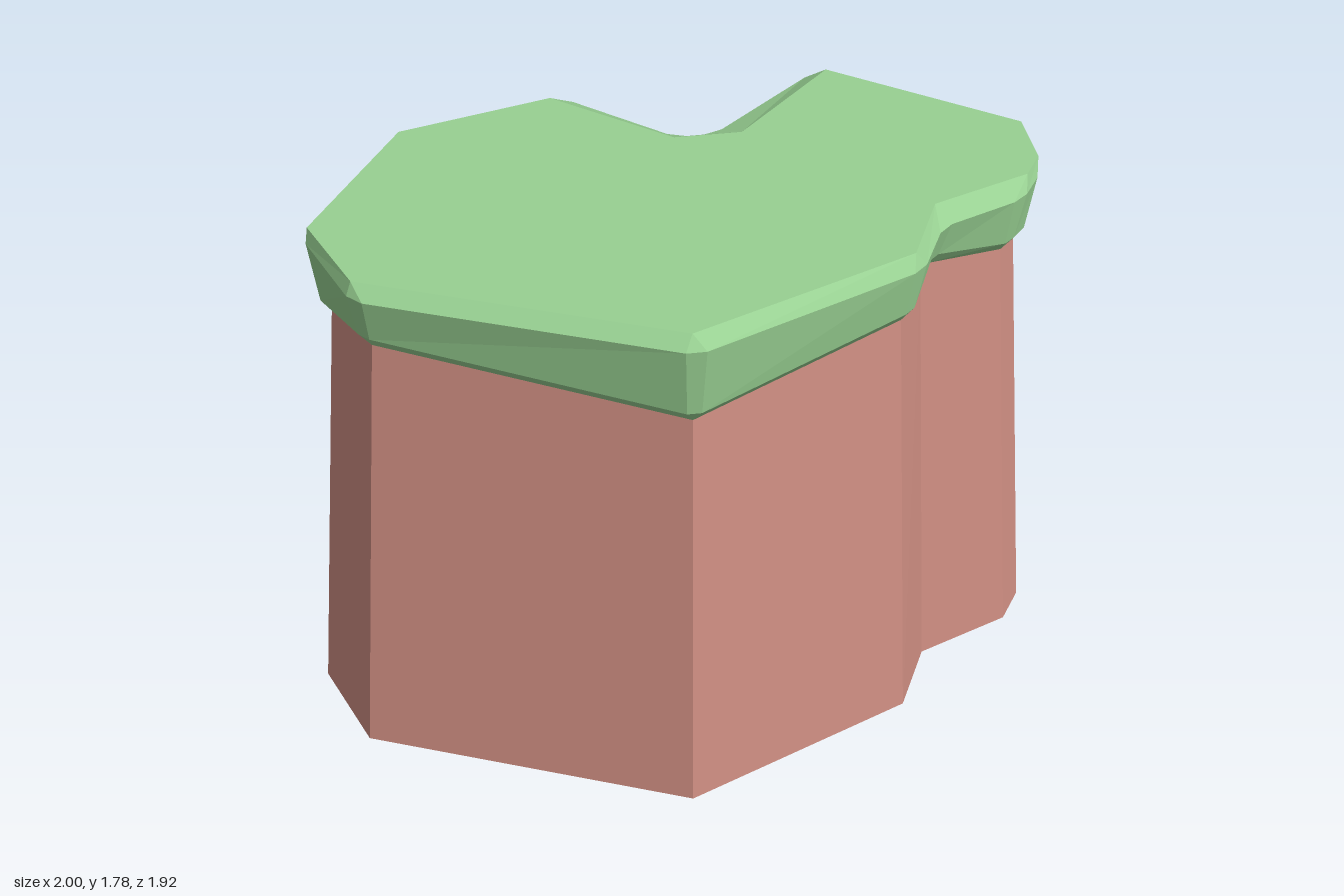
import * as THREE from 'three';

// Ground outline [x, z], counterclockwise from above, starting at the front left corner
const base = [
  [-0.64, 0.96], [0.45, 0.74], [0.87, 0], [0.82, -0.28], [1, -0.58], [0.99, -0.73], [0.84, -0.93],
  [0.11, -0.96], [-0.005, -0.44], [-0.165, -0.32], [-0.64, -0.38], [-1, 0.07], [-0.94, 0.74],
];
// Flat top of the grass, corner for corner
const lawn = [
  [-0.62, 0.91], [0.42, 0.7], [0.83, 0], [0.77, -0.29], [0.96, -0.59], [0.95, -0.71], [0.82, -0.89],
  [0.11, -0.92], [0.04, -0.42], [-0.14, -0.29], [-0.62, -0.335], [-0.95, 0.08], [-0.9, 0.71],
];
// Height at which the grass meets the rock at each corner
const meetY = [1.54, 1.45, 1.525, 1.57, 1.52, 1.495, 1.55, 1.44, 1.52, 1.57, 1.5, 1.53, 1.475];
const TOP = 1.78;

const rockTop = base.map(([x, z]) => [x * 0.91, z * 0.91]);

// Offsets an outline outward and splits each corner in two to chamfer it
function chamferRing(points, out, cut, heightAt) {
  const n = points.length;
  const ring = [];
  points.forEach(([x, z], i) => {
    const p = new THREE.Vector2(x, z);
    const d1 = p.clone().sub(new THREE.Vector2(...points[(i + n - 1) % n])).normalize();
    const d2 = new THREE.Vector2(...points[(i + 1) % n]).sub(p).normalize();
    const miter = new THREE.Vector2(-d1.y - d2.y, d1.x + d2.x).multiplyScalar(out / (1 + d1.dot(d2)));
    p.add(miter);
    const a = p.clone().addScaledVector(d1, -cut);
    const b = p.clone().addScaledVector(d2, cut);
    const y = heightAt(i);
    ring.push(new THREE.Vector3(a.x, y, a.y), new THREE.Vector3(b.x, y, b.y));
  });
  return ring;
}

// Skins rings from bottom to top, leaving out collapsed triangles
function skin(rings) {
  const tris = [];
  const add = (a, b, c) => {
    if (new THREE.Triangle(a, b, c).getArea() > 1e-6) tris.push(a, b, c);
  };
  for (let k = 0; k + 1 < rings.length; k++) {
    const lo = rings[k], hi = rings[k + 1];
    for (let i = 0; i < lo.length; i++) {
      const j = (i + 1) % lo.length;
      add(lo[i], lo[j], hi[j]);
      add(lo[i], hi[j], hi[i]);
    }
  }
  return tris;
}

// Fills an outline with a flat face looking up or down
function fill(points, y, up) {
  const contour = points.map(([x, z]) => new THREE.Vector2(x, -z));
  return THREE.ShapeUtils.triangulateShape(contour, []).flatMap((face) =>
    (up ? face : [...face].reverse()).map((i) => new THREE.Vector3(points[i][0], y, points[i][1])));
}

function makeMesh(name, tris, color) {
  const geometry = new THREE.BufferGeometry().setFromPoints(tris);
  geometry.computeVertexNormals();
  const mesh = new THREE.Mesh(geometry, new THREE.MeshStandardMaterial({ color, flatShading: true }));
  mesh.name = name;
  return mesh;
}

export function createModel() {
  const group = new THREE.Group();
  group.name = 'cliff';

  // Tapering rock walls and flat underside
  const foot = base.map(([x, z]) => new THREE.Vector3(x, 0, z));
  const head = rockTop.map(([x, z], i) => new THREE.Vector3(x, meetY[i], z));
  group.add(makeMesh('rock', [...skin([foot, head]), ...fill(base, 0, false)], 0xd08f83));

  // Overhanging grass: undercut, slanted side, bevelled rim, flat top
  const rings = [
    chamferRing(rockTop, 0, 0, (i) => meetY[i]),
    chamferRing(rockTop, 0.038, 0.025, (i) => meetY[i] + 0.045),
    chamferRing(rockTop, 0.07, 0.035, () => 1.735),
    chamferRing(lawn, 0, 0, () => TOP),
  ];
  group.add(makeMesh('grass', [...skin(rings), ...fill(lawn, TOP, true)], 0x98d092));

  return group;
}
